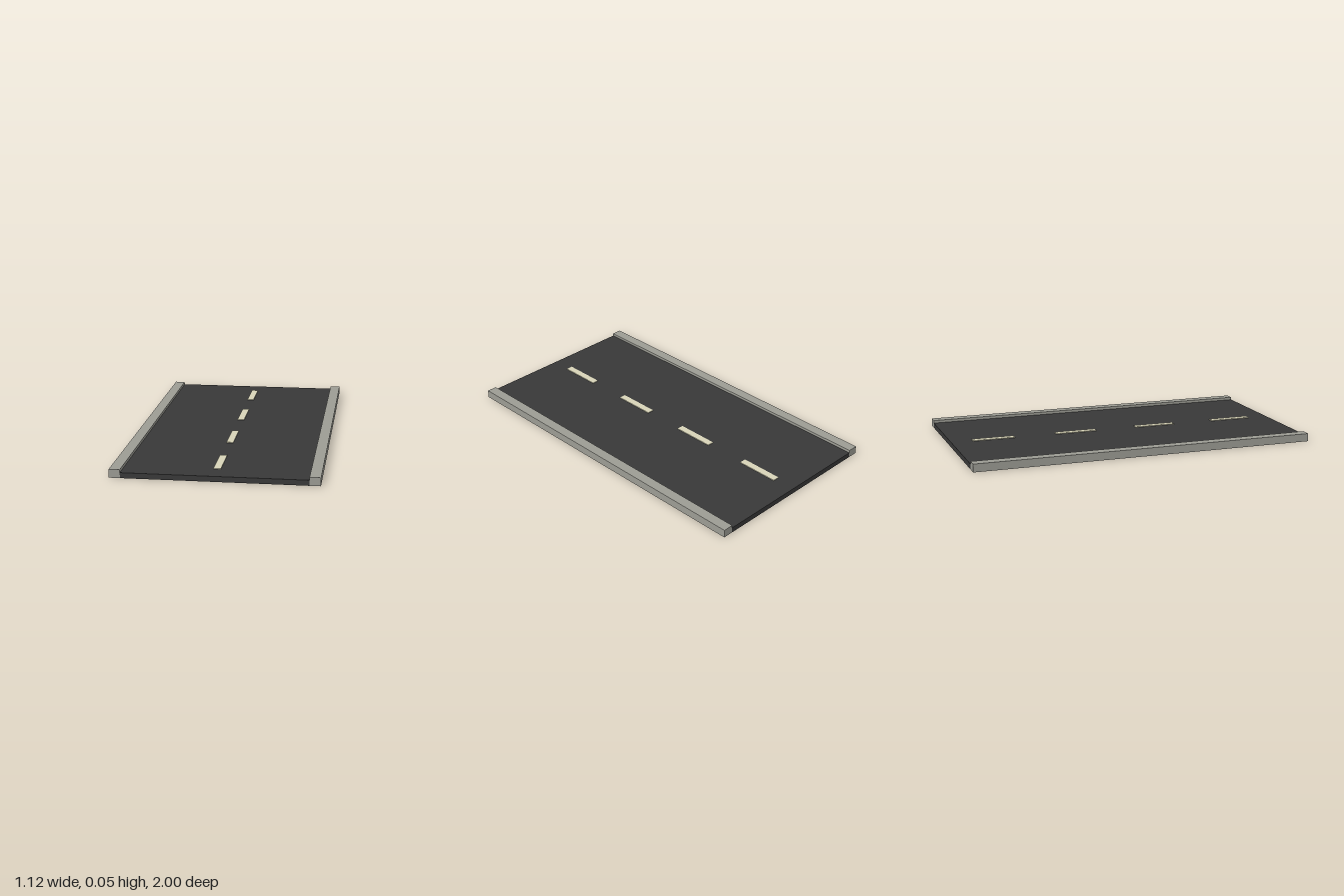
import * as THREE from 'three';

export function createModel() {
  const model = new THREE.Group();
  model.name = 'roadSegment';

  const paint = (name, color) => {
    const material = new THREE.MeshStandardMaterial({ color });
    material.name = name;
    return material;
  };
  const asphalt = paint('asphalt', 0x383838);
  const concrete = paint('concrete', 0x9c9c94);
  const linePaint = paint('cream line paint', 0xd8d4b8);

  // Box standing on height y
  const addBox = (name, material, [w, h, d], [x, y, z]) => {
    const mesh = new THREE.Mesh(new THREE.BoxGeometry(w, h, d), material);
    mesh.name = name;
    mesh.position.set(x, y + h / 2, z);
    model.add(mesh);
  };

  const roadTop = 0.03;
  addBox('roadSlab', asphalt, [1, roadTop, 2], [0, 0, 0]);

  // Raised kerbs along both edges
  addBox('leftKerb', concrete, [0.06, 0.046, 2], [0.53, 0, 0]);
  addBox('rightKerb', concrete, [0.06, 0.046, 2], [-0.53, 0, 0]);

  // Dashed centre line
  for (let i = 0; i < 4; i++) {
    addBox(`centreDash${i + 1}`, linePaint, [0.04, 0.004, 0.25], [0, roadTop, -0.75 + i * 0.5]);
  }

  return model;
}
